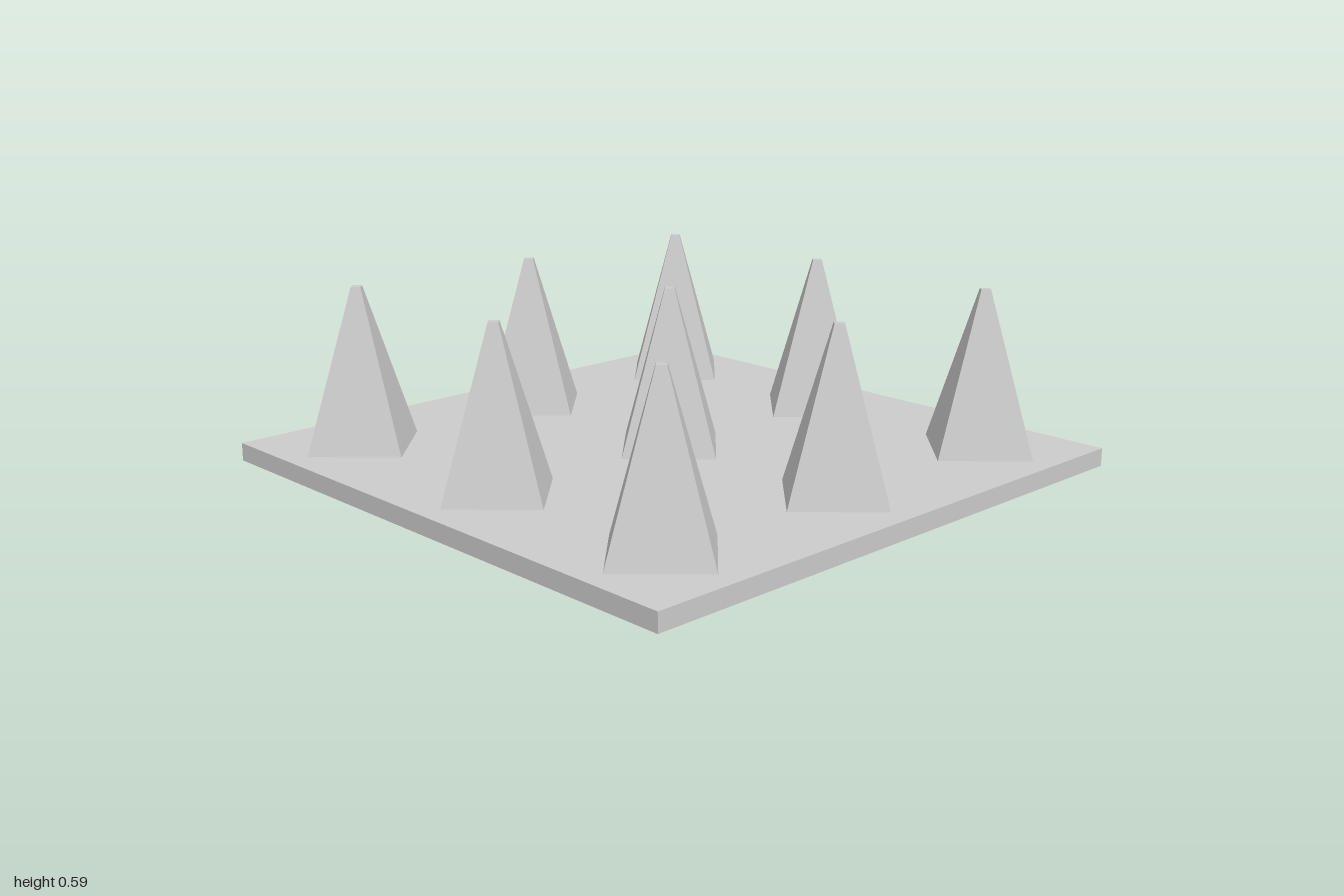
import * as THREE from 'three';

const PLATE_HEIGHT = 0.06;
const SPIKE_HEIGHT = 0.53;
const SPACING = 0.714;

export function createModel() {
  const model = new THREE.Group();
  model.name = 'spikePlate';
  const material = new THREE.MeshStandardMaterial({ color: 0xcccccc, flatShading: true });

  // Square base plate
  const plate = new THREE.Mesh(new THREE.BoxGeometry(2, PLATE_HEIGHT, 2), material);
  plate.name = 'basePlate';
  plate.position.y = PLATE_HEIGHT / 2;
  model.add(plate);

  // Three by three grid of blunt four-sided spikes, corners along the axes
  const spikeGeometry = new THREE.CylinderGeometry(0.022, 0.214, SPIKE_HEIGHT, 4);
  const spikes = new THREE.Group();
  spikes.name = 'spikes';
  for (let row = -1; row <= 1; row++) {
    for (let column = -1; column <= 1; column++) {
      const spike = new THREE.Mesh(spikeGeometry, material);
      spike.name = 'spike';
      spike.position.set(column * SPACING, PLATE_HEIGHT + SPIKE_HEIGHT / 2, row * SPACING);
      spikes.add(spike);
    }
  }
  model.add(spikes);

  return model;
}
